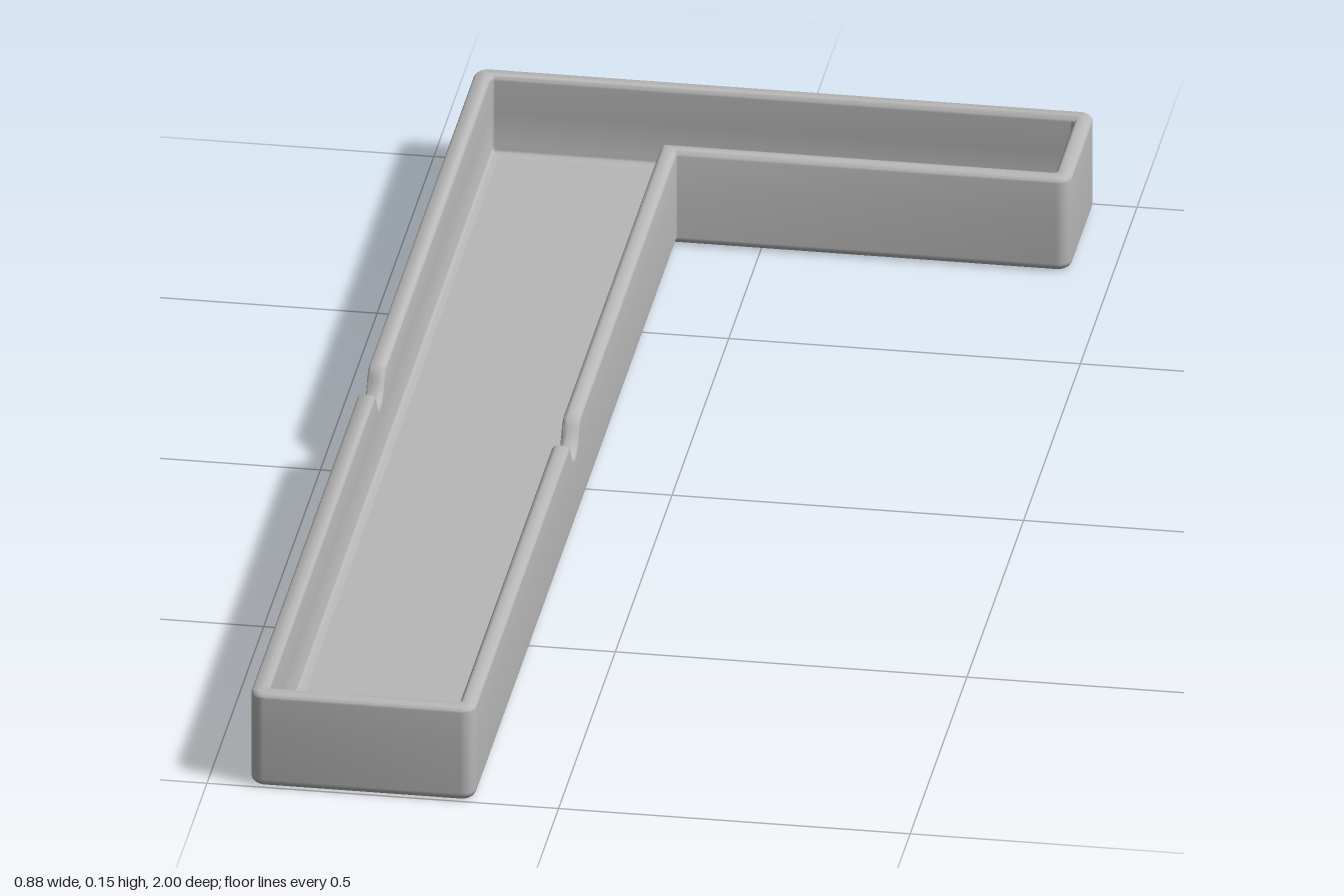
import * as THREE from 'three';
import { toCreasedNormals } from 'three/addons/utils/BufferGeometryUtils.js';

const TOP = 0.146, WALL = 0.025, FLOOR = 0.025;
// L-shaped plan (x, z), counter-clockwise seen from above; corner 2 is the inside corner
const PLAN = [[-0.44, 1], [-0.12, 1], [-0.12, -0.78], [0.44, -0.78], [0.44, -1], [-0.44, -1]];
const INSIDE = 2;
// notch centre in z, keyed by the corner that starts the notched edge
const NOTCH = { 1: 0.11, 5: -0.005 };
// half profile of a notch: distance from centre, depth
const HALF = [[0, 0.039], [0.012, 0.037], [0.024, 0.029], [0.031, 0.02], [0.036, 0.012], [0.042, 0.005], [0.047, 0.0015], [0.052, 0]];
const PROFILE = [...HALF.slice(1).reverse().map(([t, d]) => [-t, d]), ...HALF];

// Plan outline moved inward by d, with rounded corners; each point is [x, z, notch depth]
function outline(d) {
  const pts = [], n = PLAN.length;
  const dir = (a, b) => new THREE.Vector2(b[0] - a[0], b[1] - a[1]).normalize();
  PLAN.forEach((p, i) => {
    const din = dir(PLAN[(i + n - 1) % n], p), dout = dir(p, PLAN[(i + 1) % n]);
    const nin = new THREE.Vector2(din.y, -din.x), nout = new THREE.Vector2(dout.y, -dout.x);
    const sum = nin.clone().add(nout);
    const corner = new THREE.Vector2(...p).addScaledVector(sum, d);
    const s = i === INSIDE ? -1 : 1;
    const r = i === INSIDE ? 0.003 : Math.max(0.02 - d, 0.006);
    const centre = corner.clone().addScaledVector(sum, s * r);
    const add = (v) => pts.push([v.x, v.y, 0]);
    add(corner.clone().addScaledVector(din, -r - 0.003));
    for (let k = 0; k <= 4; k++) {
      const a = (k / 4) * Math.PI / 2;
      add(centre.clone().addScaledVector(nin, -s * r * Math.cos(a)).addScaledVector(nout, -s * r * Math.sin(a)));
    }
    add(corner.clone().addScaledVector(dout, r + 0.003));
    if (i in NOTCH) for (const [t, depth] of PROFILE) pts.push([corner.x, NOTCH[i] + t * dout.y, depth]);
  });
  return pts;
}

// Wall section as [inset, y]: underside edge, outer face, rounded rim, inner face, floor fillet
function section() {
  const s = [[0.016, 0]];
  const arc = (f) => { for (let k = 0; k <= 4; k++) s.push(f(Math.cos(k * Math.PI / 8), Math.sin(k * Math.PI / 8))); };
  const b = 0.012, r = 0.008, f = 0.01;
  arc((c, n) => [b * (1 - n), b * (1 - c)]);
  s.push([0, 0.015], [0, 0.09], [0, TOP - r - 0.003]);
  arc((c, n) => [r * (1 - c), TOP - r + r * n]);
  arc((c, n) => [WALL - r + r * n, TOP - r + r * c]);
  s.push([WALL, TOP - r - 0.003], [WALL, 0.09], [WALL, FLOOR + f + 0.003]);
  arc((c, n) => [WALL + f * (1 - c), FLOOR + f - f * n]);
  s.push([WALL + f + 0.003, FLOOR]);
  return s;
}

function wallGeometry(sec) {
  const pos = [], idx = [];
  let n = 0;
  for (const [d, y] of sec) {
    const ring = outline(d);
    n = ring.length;
    // the rim dips into the notches
    for (const [x, z, depth] of ring) pos.push(x, y > 0.1 ? y - depth : y, z);
  }
  for (let k = 0; k < sec.length - 1; k++) {
    for (let i = 0; i < n; i++) {
      const j = (i + 1) % n, a = k * n + i, b = k * n + j;
      idx.push(a, b, b + n, a, b + n, a + n);
    }
  }
  const g = new THREE.BufferGeometry();
  g.setAttribute('position', new THREE.Float32BufferAttribute(pos, 3));
  g.setIndex(idx);
  return toCreasedNormals(g, 0.7);
}

// Flat plate filling a ring, facing up (1) or down (-1)
function plate([d, y], up) {
  const shape = new THREE.Shape(outline(d).map(([x, z]) => new THREE.Vector2(x, -up * z)));
  return new THREE.ShapeGeometry(shape).rotateX(-up * Math.PI / 2).translate(0, y, 0);
}

export function createModel() {
  const group = new THREE.Group();
  group.name = 'cornerTray';
  const grey = new THREE.MeshStandardMaterial({ color: 0xb8b8b8 });
  grey.name = 'grey';
  const sec = section();
  const add = (name, geometry) => {
    const mesh = new THREE.Mesh(geometry, grey);
    mesh.name = name;
    group.add(mesh);
  };
  add('notchedWall', wallGeometry(sec));
  add('underside', plate(sec[0], -1));
  add('trayFloor', plate(sec[sec.length - 1], 1));
  return group;
}
